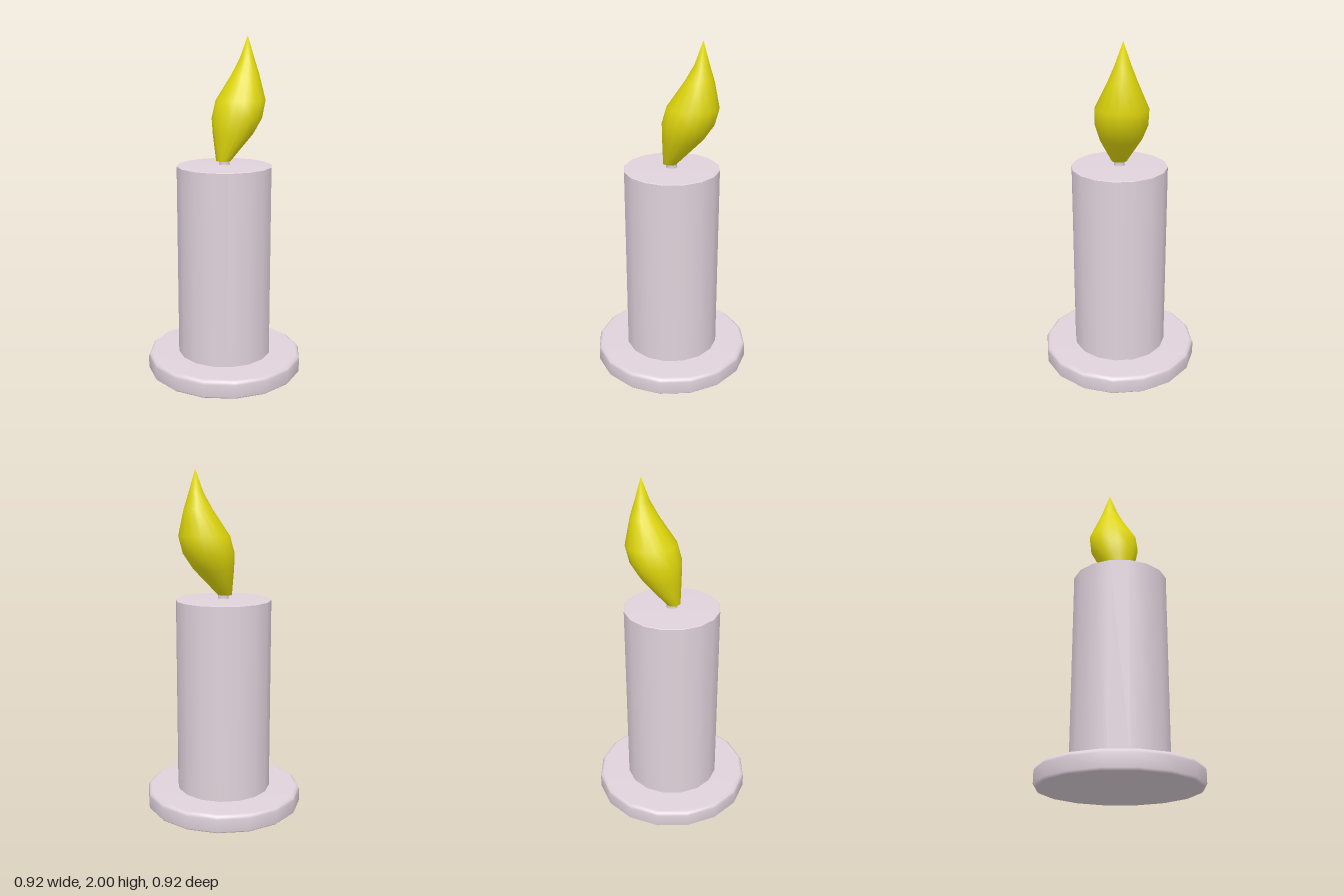
import * as THREE from 'three';
import { mergeGeometries, mergeVertices } from 'three/addons/utils/BufferGeometryUtils.js';

const SIDES = 16;

// Turned part: every section is smooth in itself, with a sharp edge between sections.
function turned(name, material, sections) {
  const parts = sections.map((points) => new THREE.LatheGeometry(
    points.map(([r, y]) => new THREE.Vector2(r, y)), SIDES, Math.PI / SIDES));
  const mesh = new THREE.Mesh(mergeGeometries(parts), material);
  mesh.name = name;
  return mesh;
}

// Leaning flame: rings of [height, left x, right x, half depth].
function flameGeometry(rings) {
  const geometry = new THREE.LatheGeometry(
    rings.map(([y]) => new THREE.Vector2(1, y)), SIDES, Math.PI / SIDES);
  const position = geometry.attributes.position;
  for (let i = 0; i < position.count; i++) {
    const [, left, right, depth] = rings[i % rings.length];
    position.setX(i, (left + right) / 2 + position.getX(i) * (right - left) / 2);
    position.setZ(i, position.getZ(i) * depth);
  }
  // Weld the seam and the tips so the shading is continuous
  geometry.deleteAttribute('uv');
  geometry.deleteAttribute('normal');
  const welded = mergeVertices(geometry, 1e-4);
  welded.computeVertexNormals();
  return welded;
}

export function createModel() {
  const group = new THREE.Group();
  group.name = 'candle';
  const wax = new THREE.MeshStandardMaterial({ color: 0xe0d2db });
  const yellow = new THREE.MeshStandardMaterial({ color: 0xe0d80c });

  // Dish with a softened upper rim
  group.add(turned('base', wax, [
    [[0, 0], [0.455, 0]],
    [[0.455, 0], [0.467, 0.012], [0.467, 0.085], [0.461, 0.1], [0.445, 0.11], [0, 0.11]],
  ]));

  // Wax body with a barely raised top
  group.add(turned('candleBody', wax, [
    [[0.281, 0.1], [0.281, 1.255]],
    [[0.281, 1.255], [0.275, 1.259], [0, 1.263]],
  ]));

  // Short wick
  group.add(turned('wick', wax, [
    [[0.036, 1.255], [0.03, 1.27], [0.036, 1.31]],
  ]));

  // Flame
  const flame = new THREE.Mesh(flameGeometry([
    [1.285, -0.01, -0.01, 0],
    [1.285, -0.05, 0.032, 0.045],
    [1.44, -0.052, 0.185, 0.122],
    [1.53, -0.052, 0.247, 0.15],
    [1.63, -0.022, 0.274, 0.15],
    [1.78, 0.082, 0.245, 0.083],
    [1.87, 0.134, 0.217, 0.046],
    [2.0, 0.18, 0.18, 0],
  ]), yellow);
  flame.name = 'flame';
  group.add(flame);

  return group;
}
